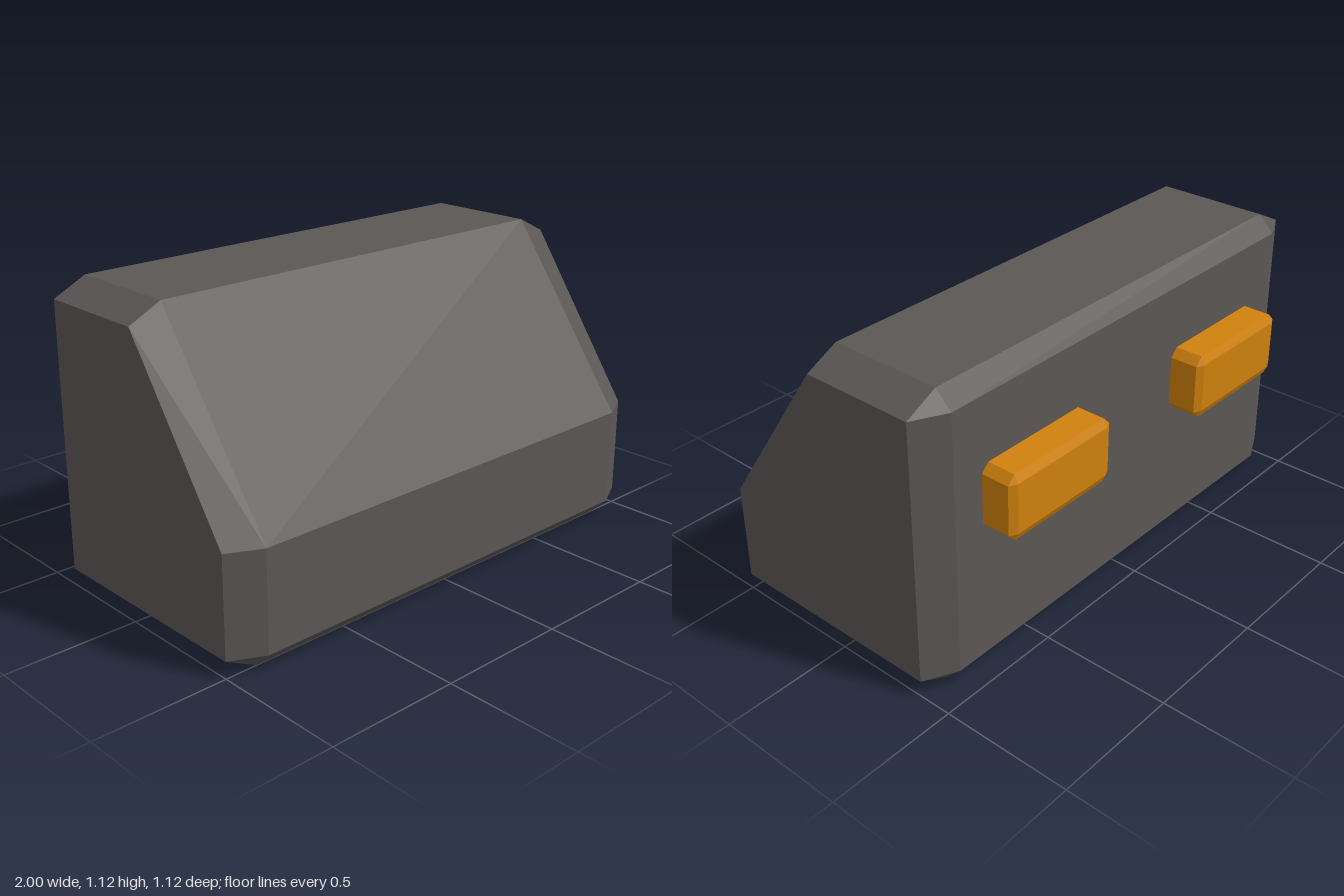
import * as THREE from 'three';
import { ConvexGeometry } from 'three/addons/geometries/ConvexGeometry.js';

// Convex flat-faced solid from profiles: each is { x, points: [[z, y], ...] }, mirrored in x
function mirroredHull(profiles) {
  const points = [];
  for (const { x, points: outline } of profiles)
    for (const [z, y] of outline)
      for (const side of [-1, 1]) points.push(new THREE.Vector3(side * x, y, z));
  return new ConvexGeometry(points);
}

export function createModel() {
  const group = new THREE.Group();
  group.name = 'wedgeBlock';

  const darkGrey = new THREE.MeshStandardMaterial({ color: 0x5b5755 });
  darkGrey.name = 'dark grey';
  const orange = new THREE.MeshStandardMaterial({ color: 0xd0810d });
  orange.name = 'orange';

  // Body: sloped-front block with chamfered edges and smaller end faces
  const body = new THREE.Mesh(mirroredHull([
    {
      x: 0.875,
      points: [
        [0.5, 0], [0.5625, 0.0625], [0.5625, 0.4375], [0.5, 0.5], [0.0625, 1.125],
        [-0.375, 1.125], [-0.4375, 1.0625], [-0.4375, 0.0625], [-0.375, 0],
      ],
    },
    {
      x: 1,
      points: [[0.5, 0.0625], [0.5, 0.4375], [0.0625, 1.0625], [-0.375, 1.0625], [-0.375, 0.0625]],
    },
  ]), darkGrey);
  body.name = 'body';
  group.add(body);

  // Rear pads: chamfered blocks set into the back face
  const padGeometry = mirroredHull([
    { x: 0.22, points: [[0.04, 0.125], [0.04, -0.125], [-0.108, 0.125], [-0.108, -0.125], [-0.123, 0.094], [-0.123, -0.094]] },
    { x: 0.25, points: [[0.04, 0.094], [0.04, -0.094], [-0.108, 0.094], [-0.108, -0.094]] },
  ]);
  for (const [name, x] of [['leftRearPad', 0.5], ['rightRearPad', -0.5]]) {
    const pad = new THREE.Mesh(padGeometry, orange);
    pad.name = name;
    pad.position.set(x, 0.69, -0.4385);
    group.add(pad);
  }

  return group;
}
